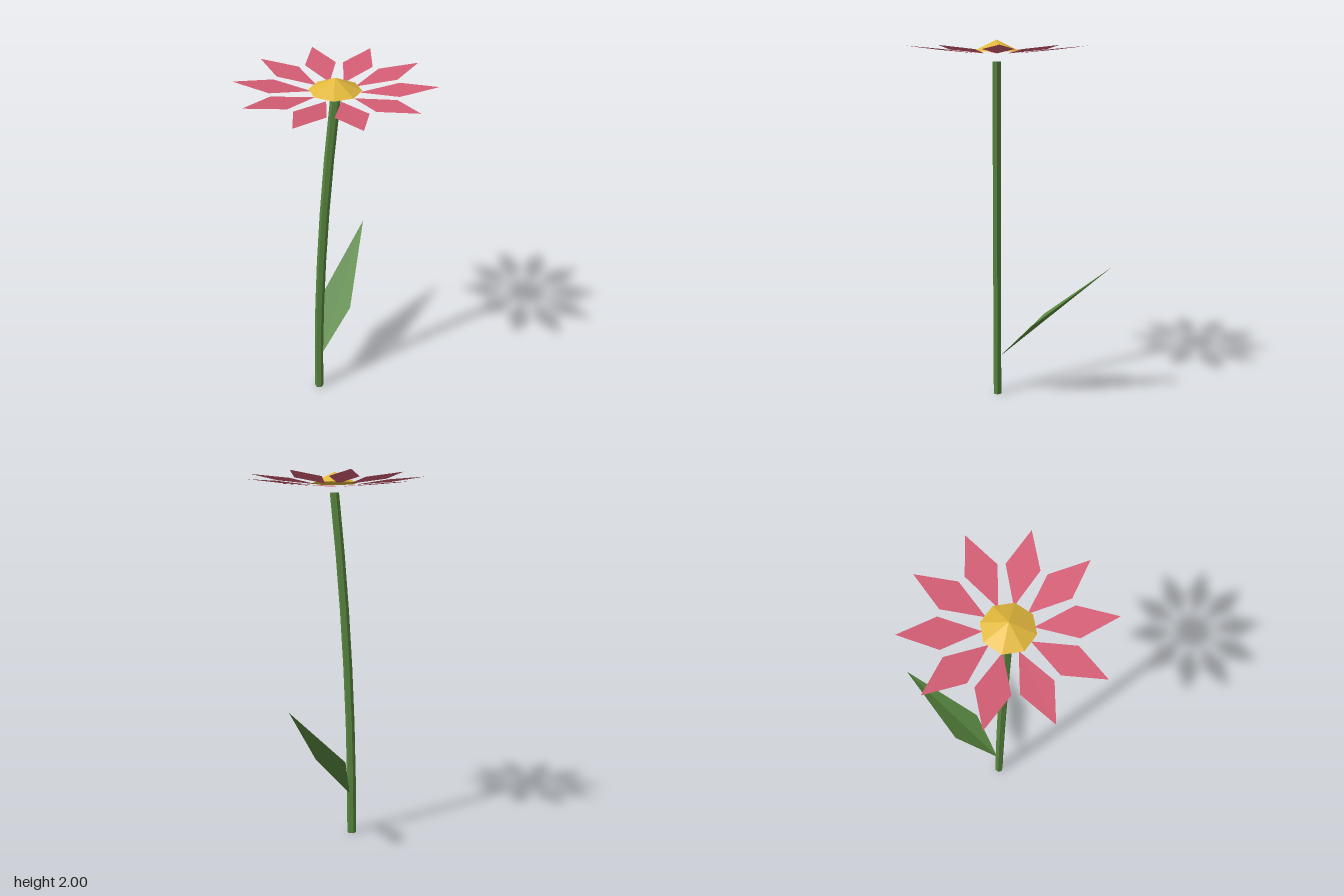
import * as THREE from 'three';

const FLOWER_Z = 0.073;

function material(name, color) {
  const m = new THREE.MeshStandardMaterial({ color, side: THREE.DoubleSide });
  m.name = name;
  return m;
}

// Faceted normals for the low-poly look
function faceted(geometry) {
  const g = geometry.index ? geometry.toNonIndexed() : geometry;
  g.computeVertexNormals();
  return g;
}

// Thin blade of two triangles folded along the base-tip line
function blade(base, right, tip, left) {
  const g = new THREE.BufferGeometry();
  const points = [base, right, tip, base, tip, left].flat();
  g.setAttribute('position', new THREE.Float32BufferAttribute(points, 3));
  return faceted(g);
}

function mesh(name, geometry, mat) {
  const m = new THREE.Mesh(geometry, mat);
  m.name = name;
  return m;
}

export function createModel() {
  const green = material('leaf green', 0x58863f);
  const pink = material('petal pink', 0xd45d74);
  const yellow = material('centre yellow', 0xe2b83c);
  const model = new THREE.Group();
  model.name = 'flower';

  // Hexagonal stem, bent gently toward the head
  const height = 1.89;
  const stem = new THREE.CylinderGeometry(0.025, 0.025, height, 6, 6, false, Math.PI / 6);
  stem.translate(0, height / 2, 0);
  const p = stem.attributes.position;
  for (let i = 0; i < p.count; i++) {
    const t = p.getY(i) / height;
    p.setX(i, p.getX(i) - 0.1 + 0.1 * t * t);
  }
  stem.translate(0, 0, FLOWER_Z);
  model.add(mesh('stem', faceted(stem), green));

  // Single folded leaf rising behind the stem
  model.add(mesh('leaf', blade(
    [-0.09, 0.23, 0.06], [0.075, 0.47, -0.11], [0.13, 0.815, -0.53], [-0.1, 0.485, -0.2]
  ), green));

  // Flower head: ten diamond petals, tilted slightly upward
  const head = new THREE.Group();
  head.name = 'flowerHead';
  head.position.set(0, 1.92, FLOWER_Z);
  const petal = blade([0.11, 0.011, 0], [0.297, 0.03, 0.078], [0.478, 0.048, 0], [0.297, 0.03, -0.078]);
  // corners run counter-clockwise seen from above
  petal.scale(1, 1, -1);
  const count = 10;
  for (let i = 0; i < count; i++) {
    const m = mesh('petal', petal, pink);
    m.rotation.y = (i / count) * Math.PI * 2;
    head.add(m);
  }

  // Eight-sided pointed centre, open underneath
  const centre = new THREE.ConeGeometry(0.125, 0.06, 8, 1, true);
  centre.translate(0, 0.05, 0);
  head.add(mesh('flowerCentre', faceted(centre), yellow));
  model.add(head);

  return model;
}
